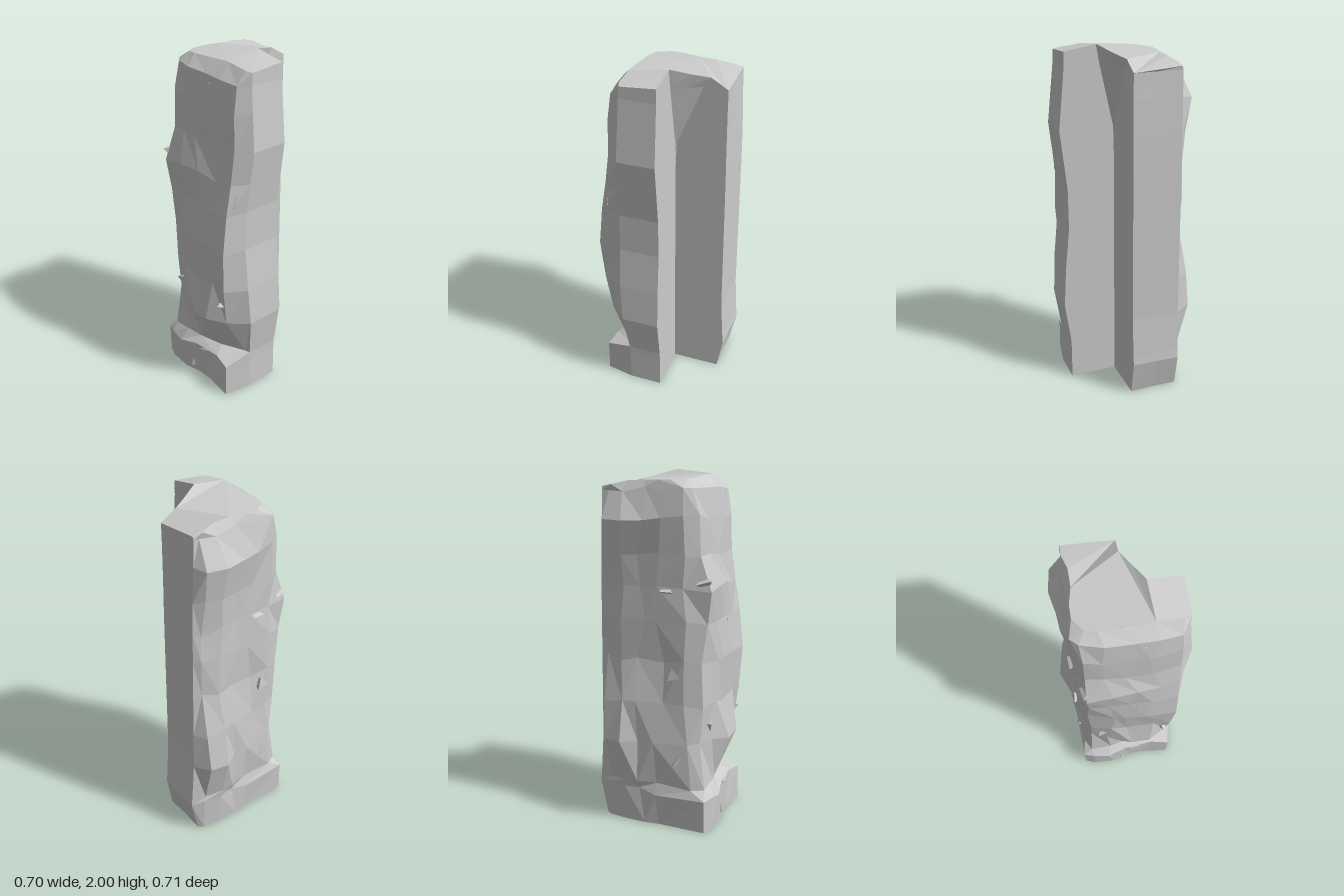
import * as THREE from 'three';

// Small seeded generator, -1..1
function seeded(seed) {
  return () => {
    seed = (seed * 16807) % 2147483647;
    return (seed / 2147483647) * 2 - 1;
  };
}

// Piecewise linear profile: [[y, value], ...]
function profile(table, y) {
  for (let i = 1; i < table.length; i++) {
    const [y0, v0] = table[i - 1], [y1, v1] = table[i];
    if (y <= y1) return v0 + ((v1 - v0) * (y - y0)) / (y1 - y0);
  }
  return table[table.length - 1][1];
}

// Depth of the rough front: height, then z for five columns from the model's left to right
const FRONT = [
  [0, 0.322, 0.3, 0.315, 0.338, 0.325],
  [0.2, 0.32, 0.3, 0.312, 0.338, 0.325],
  [0.25, 0.17, 0.235, 0.275, 0.298, 0.29],
  [0.49, 0.29, 0.345, 0.352, 0.29, 0.262],
  [0.72, 0.32, 0.32, 0.31, 0.31, 0.27],
  [0.97, 0.335, 0.33, 0.32, 0.305, 0.275],
  [1.2, 0.31, 0.315, 0.312, 0.312, 0.295],
  [1.37, 0.28, 0.3, 0.31, 0.32, 0.32],
  [1.55, 0.255, 0.268, 0.275, 0.265, 0.25],
  [1.75, 0.25, 0.262, 0.266, 0.26, 0.24],
  [1.89, 0.23, 0.24, 0.24, 0.238, 0.215],
];
const RIGHT = [[0, 0.315], [0.24, 0.315], [0.5, 0.352], [0.65, 0.345], [1, 0.31], [1.25, 0.315], [1.53, 0.355], [1.9, 0.318]];
const ARM_EDGE = [[0, 0.16], [0.26, 0.165], [0.6, 0.2], [1, 0.2], [1.9, 0.17]];
const ARM_FRONT_X = [[0, 0.285], [0.25, 0.285], [0.49, 0.255], [0.97, 0.285], [1.55, 0.285], [1.9, 0.275]];
const LEFT = [[0, -0.27], [0.25, -0.29], [0.5, -0.352], [0.72, -0.315], [0.97, -0.275], [1.2, -0.282], [1.37, -0.275], [1.55, -0.29], [1.75, -0.322], [1.9, -0.245]];
const LEFT_FRONT = [[0, 0.305], [0.2, 0.3], [0.27, 0.2], [1.9, 0.16]];
const BACK = [[0, -0.315], [0.2, -0.358], [0.4, -0.338], [1.5, -0.328], [1.9, -0.312]];

// Upper rim of the pillar, in the same order as the columns of a ring
const RIM = [
  [0.318, 1.97, -0.03], [0.318, 1.955, 0.165], [0.28, 1.96, 0.178], [0.15, 1.975, 0.178],
  [0.0, 1.965, 0.178], [-0.12, 1.955, 0.175], [-0.18, 1.95, 0.16], [-0.23, 1.945, 0.09],
  [-0.23, 1.945, 0.02], [-0.21, 1.945, -0.07], [-0.21, 1.94, -0.17], [-0.235, 1.92, -0.26],
  [-0.23, 1.91, -0.315], [-0.1, 1.9, -0.314], [0.04, 1.89, -0.312],
  [0.04, 1.945, -0.22], [0.09, 1.97, -0.125], [0.14, 2.0, -0.03],
];

// One L-shaped cross-section: end of arm, rough front, rough left, back, inner corner
function crossSection([y, ...front], rnd) {
  const r = profile(RIGHT, y), l = profile(LEFT, y), b = profile(BACK, y);
  const inner = Math.max(l, -0.295); // left face near the front bulges less
  const cornerX = y < 0.25 ? -0.28 : -0.255;
  const t = Math.max(0, (y - 1.53) / 0.45); // fillet growing in the inner corner
  const rough = (x, z, dx, dz) => [
    x + rnd() * dx, y === 0 ? 0 : y + rnd() * 0.02, z + rnd() * dz,
  ];
  return [
    [r, y, -0.03],
    [r, y, profile(ARM_EDGE, y)],
    [profile(ARM_FRONT_X, y), y, front[0]],
    rough(0.15, front[1], 0.04, 0.008),
    rough(0.03, front[2], 0.04, 0.008),
    rough(-0.1, front[3], 0.04, 0.008),
    rough(-0.21, front[4], 0.01, 0.008),
    rough(Math.max(cornerX, l), profile(LEFT_FRONT, y), 0.01, 0.02),
    rough(inner + 0.014, 0.04, 0.014, 0.04),
    rough(inner + 0.004, -0.07, 0.014, 0.03),
    rough(l, -0.175, 0.006, 0.015),
    rough(l + 0.018, -0.285, 0.008, 0.01),
    [-0.235, y, b],
    [-0.1, y, b + 0.006],
    [0.04, y, Math.min(b + 0.012, -0.312)],
    [0.04, y, -0.03 - 0.19 * t],
    [0.04 + 0.05 * t, y, -0.03 - 0.095 * t],
    [0.04 + 0.1 * t, y, -0.03],
  ];
}

function pillarGeometry() {
  const rnd = seeded(4217);
  const rings = [...FRONT.map((row) => crossSection(row, rnd)), RIM];
  const n = RIM.length;
  const index = [];

  // Walls, with the diagonal varied for irregular facets
  for (let j = 0; j < rings.length - 1; j++) {
    for (let i = 0; i < n; i++) {
      const k = (i + 1) % n;
      const a = j * n + i, b = j * n + k, c = a + n, d = b + n;
      if (i > 1 && i < 12 && rnd() > 0) index.push(a, c, d, a, d, b);
      else index.push(a, c, b, b, c, d);
    }
  }

  // Flat base and sloping top
  const cap = (ring, start, up) => {
    const contour = ring.map(([x, , z]) => new THREE.Vector2(x, z));
    for (const [a, b, c] of THREE.ShapeUtils.triangulateShape(contour, [])) {
      const [A, B, C] = [contour[a], contour[b], contour[c]];
      const ny = (B.y - A.y) * (C.x - A.x) - (B.x - A.x) * (C.y - A.y);
      if (ny > 0 === up) index.push(start + a, start + b, start + c);
      else index.push(start + a, start + c, start + b);
    }
  };
  cap(rings[0], 0, false);
  cap(RIM, (rings.length - 1) * n, true);

  const geometry = new THREE.BufferGeometry();
  geometry.setAttribute('position', new THREE.Float32BufferAttribute(rings.flat(2), 3));
  geometry.setIndex(index);
  const faceted = geometry.toNonIndexed();
  faceted.computeVertexNormals();
  return faceted;
}

export function createModel() {
  const group = new THREE.Group();
  group.name = 'rockPillar';
  const stone = new THREE.MeshStandardMaterial({ color: 0xcccccc, flatShading: true });

  const body = new THREE.Mesh(pillarGeometry(), stone);
  body.name = 'pillarBody';
  group.add(body);

  // Small three-sided chips sunk in the rough faces: x, y, z, size
  const chips = new THREE.Group();
  chips.name = 'stoneChips';
  const spots = [
    [-0.02, 1.57, 0.25, 0.045], [0.06, 1.16, 0.3, 0.03], [-0.21, 1.41, 0.28, 0.055],
    [-0.13, 0.6, 0.28, 0.055], [0.23, 0.61, 0.29, 0.05], [0.12, 1.86, 0.215, 0.055],
    [0.07, 0.2, 0.29, 0.045], [0.28, 1.28, 0.26, 0.05], [-0.02, 0.05, 0.31, 0.035],
    [-0.25, 1.36, 0.08, 0.05], [-0.265, 0.9, 0.12, 0.05], [-0.26, 0.4, 0.14, 0.05],
  ];
  const chip = new THREE.TetrahedronGeometry(1);
  spots.forEach(([x, y, z, size], i) => {
    const mesh = new THREE.Mesh(chip, stone);
    mesh.name = 'chip';
    mesh.position.set(x, y, z);
    mesh.scale.set(size, size, size * 0.8);
    mesh.rotation.set(i * 1.3, i * 0.7, i * 2.1);
    chips.add(mesh);
  });
  group.add(chips);
  return group;
}
